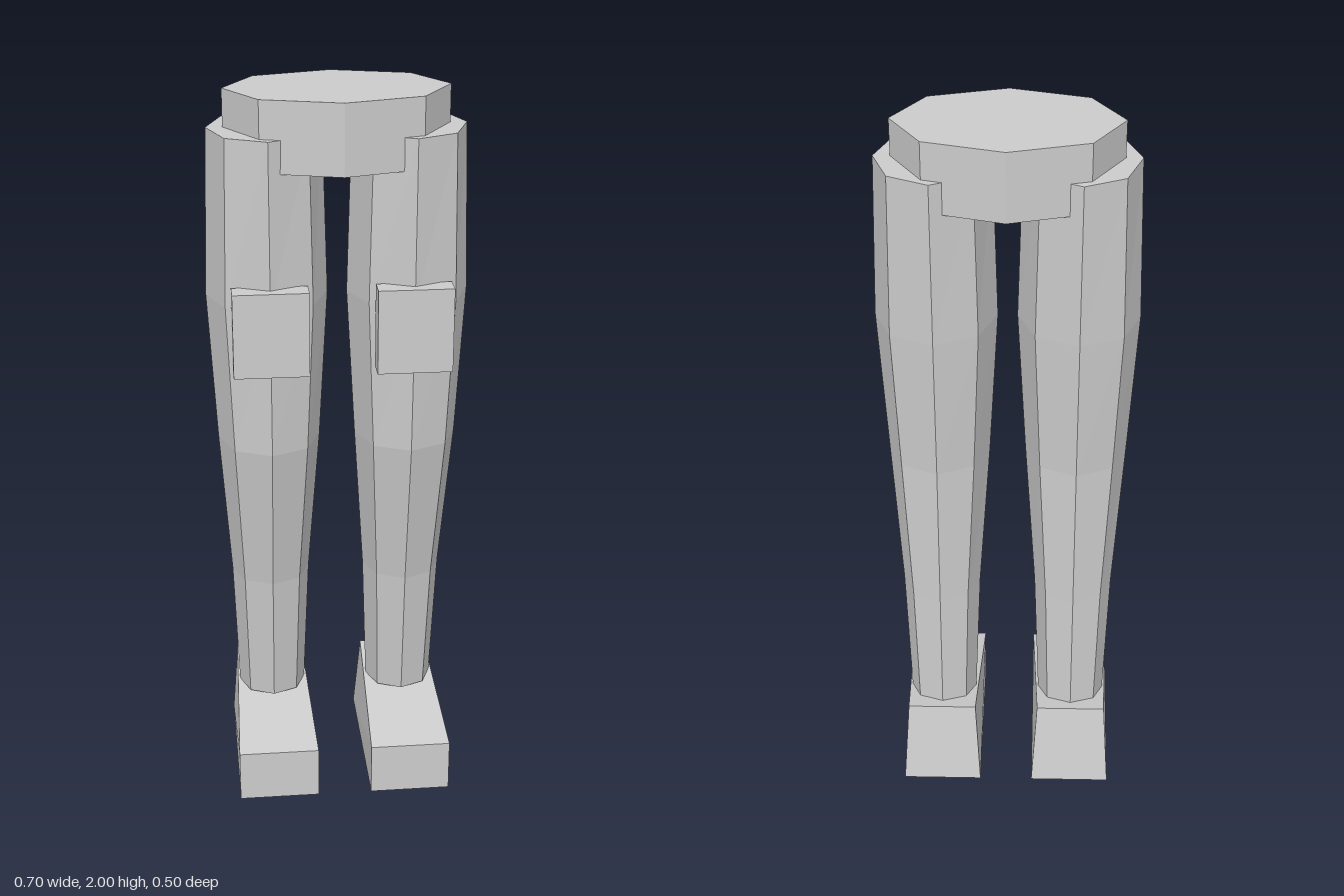
import * as THREE from 'three';

const grey = new THREE.MeshStandardMaterial({ color: 0xcccccc });
grey.name = 'plainGrey';

// Facet a geometry and wrap it in a named mesh
function facetedMesh(name, geometry) {
  const flat = geometry.toNonIndexed();
  flat.computeVertexNormals();
  const mesh = new THREE.Mesh(flat, grey);
  mesh.name = name;
  return mesh;
}

// Leg rings from hip to ankle: height, half width, half depth, z offset
const LEG_RINGS = [
  [1.9, 0.151, 0.174, 0],
  [1.45, 0.163, 0.168, 0],
  [1.035, 0.14, 0.15, 0],
  [0.6, 0.11, 0.113, -0.043],
  [0.21, 0.096, 0.098, -0.068],
];

// Eight-sided leg: each row of a unit cylinder is moved onto its ring
function createLeg() {
  const last = LEG_RINGS.length - 1;
  const geometry = new THREE.CylinderGeometry(1, 1, 1, 8, last);
  const p = geometry.attributes.position;
  for (let i = 0; i < p.count; i++) {
    const [y, rx, rz, dz] = LEG_RINGS[Math.round((0.5 - p.getY(i)) * last)];
    p.setXYZ(i, p.getX(i) * rx, y, p.getZ(i) * rz + dz);
  }
  return facetedMesh('leg', geometry);
}

// Wedge foot: low toe, raised and narrowed heel
function createFoot() {
  const geometry = new THREE.BoxGeometry(0.226, 1, 0.496);
  const p = geometry.attributes.position;
  for (let i = 0; i < p.count; i++) {
    const top = p.getY(i) > 0;
    const back = p.getZ(i) < 0;
    p.setY(i, top ? (back ? 0.24 : 0.15) : 0);
    if (top && back) {
      p.setX(i, Math.sign(p.getX(i)) * 0.098);
      p.setZ(i, -0.2);
    }
  }
  return facetedMesh('foot', geometry);
}

// Flat pouch on the front of the thigh
function createThighPouch() {
  const geometry = new THREE.BoxGeometry(0.2, 0.23, 0.06);
  geometry.translate(0, 1.395, 0.166);
  return facetedMesh('thighPouch', geometry);
}

export function createModel() {
  const model = new THREE.Group();
  model.name = 'legs';

  // Octagonal pelvis block
  const pelvis = new THREE.CylinderGeometry(1, 1, 0.187, 8);
  pelvis.scale(0.296, 1, 0.203);
  pelvis.translate(0, 1.9065, 0);
  model.add(facetedMesh('pelvis', pelvis));

  for (const side of [1, -1]) {
    const limb = new THREE.Group();
    limb.name = side > 0 ? 'leftLimb' : 'rightLimb';
    limb.position.x = side * 0.189;
    limb.add(createLeg(), createThighPouch(), createFoot());
    model.add(limb);
  }
  return model;
}
